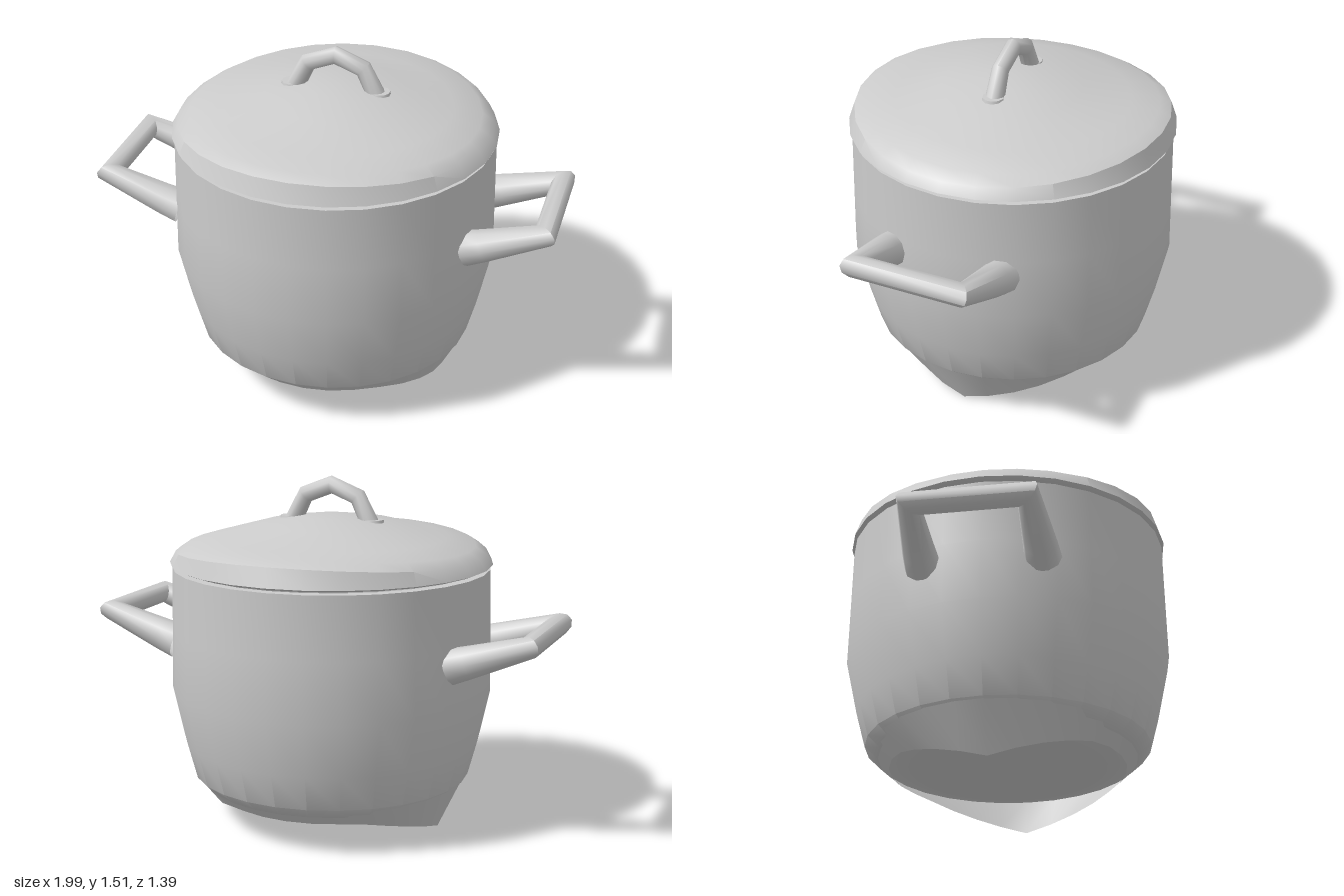
import * as THREE from 'three';
import { toCreasedNormals } from 'three/addons/utils/BufferGeometryUtils.js';

const material = new THREE.MeshStandardMaterial({ color: 0xcccccc, side: THREE.DoubleSide });
const SEGMENTS = 28;

function part(name, geometry, crease = 0.6) {
  const mesh = new THREE.Mesh(toCreasedNormals(geometry, crease), material);
  mesh.name = name;
  return mesh;
}

const lathe = (profile) =>
  new THREE.LatheGeometry(profile.map(([r, y]) => new THREE.Vector2(r, y)), SEGMENTS);

// Apply a rule to every vertex of a geometry
function reshape(geometry, rule) {
  const pos = geometry.attributes.position;
  const v = new THREE.Vector3();
  for (let i = 0; i < pos.count; i++) {
    rule(v.fromBufferAttribute(pos, i));
    pos.setXYZ(i, v.x, v.y, v.z);
  }
  return geometry;
}

// Bar with mitred corners along points [x, y, z, radius] lying in one plane
function mitredBar(points, planeNormal, sides = 10) {
  const p = points.map(([x, y, z]) => new THREE.Vector3(x, y, z));
  const positions = [], indices = [];
  p.forEach((c, i) => {
    const before = c.clone().sub(p[Math.max(i - 1, 0)]).normalize();
    const after = p[Math.min(i + 1, p.length - 1)].clone().sub(c).normalize();
    const tangent = before.clone().add(after).normalize();
    const stretch = 1 / Math.max(tangent.dot(i ? before : after), 0.5);
    const across = new THREE.Vector3().crossVectors(tangent, planeNormal).normalize();
    for (let k = 0; k < sides; k++) {
      const a = (k / sides) * Math.PI * 2, r = points[i][3];
      const v = c.clone()
        .addScaledVector(across, Math.cos(a) * r * stretch)
        .addScaledVector(planeNormal, Math.sin(a) * r);
      positions.push(v.x, v.y, v.z);
      if (i) {
        const k2 = (k + 1) % sides, n = i * sides, m = n - sides;
        indices.push(m + k, m + k2, n + k, m + k2, n + k2, n + k);
      }
    }
  });
  const geometry = new THREE.BufferGeometry();
  geometry.setAttribute('position', new THREE.Float32BufferAttribute(positions, 3));
  geometry.setIndex(indices);
  return geometry;
}

export function createModel() {
  const pot = new THREE.Group();
  pot.name = 'cookingPot';

  // Body: straight wall narrowing to a small flat base
  pot.add(part('body', lathe([
    [0, 0.125], [0.42, 0.125], [0.55, 0.16], [0.605, 0.21], [0.645, 0.36],
    [0.695, 0.59], [0.69, 0.85], [0.685, 1.12], [0.64, 1.12],
  ])));

  // Base skirt, drawn down to a point on the left and right
  const skirt = reshape(lathe([[0.5, 0.115], [0.6, 0.21]]), (v) => {
    if (v.y < 0.15 && Math.abs(v.x) > 0.2) v.y -= 0.115 * Math.max(0, 1 - Math.abs(v.z) / 0.42);
  });
  pot.add(part('baseSkirt', skirt));

  // Lid: shallow dome whose rim rises towards front and back
  const lidShape = reshape(lathe([
    [0.62, 1.12], [0.67, 1.13], [0.695, 1.14], [0.67, 1.18], [0.62, 1.215],
    [0.5, 1.25], [0.3, 1.305], [0.12, 1.333], [0, 1.34],
  ]), (v) => {
    const r = Math.hypot(v.x, v.z);
    if (v.y > 1.15 && r > 0.55) v.y += 0.04 * ((r - 0.5) / 0.17) * (v.z / r) ** 2;
  });
  pot.add(part('lid', lidShape));

  // Lid handle: angular arch with a foot at each end
  const lidHandle = new THREE.Group();
  lidHandle.name = 'lidHandle';
  lidHandle.add(part('lidHandleArch', mitredBar([
    [-0.195, 1.27, 0, 0.042], [-0.12, 1.42, 0, 0.036], [0, 1.467, 0, 0.036],
    [0.12, 1.42, 0, 0.036], [0.195, 1.27, 0, 0.042],
  ], new THREE.Vector3(0, 0, 1)), 0.9));
  for (const side of [-1, 1]) {
    const foot = part('lidHandleFoot', new THREE.CylinderGeometry(0.045, 0.052, 0.03, 10), 0.9);
    foot.position.set(side * 0.19, 1.312, 0);
    lidHandle.add(foot);
  }
  pot.add(lidHandle);

  // Side handles: square loops tilted upwards, thicker at the roots
  const tilt = new THREE.Vector3(-0.34, 0.94, 0).normalize();
  for (const [name, turn] of [['leftHandle', 0], ['rightHandle', Math.PI]]) {
    const handle = part(name, mitredBar([
      [0.62, 0.78, -0.245, 0.077], [0.7, 0.805, -0.245, 0.07], [0.952, 0.888, -0.232, 0.047],
      [0.952, 0.888, 0.232, 0.047], [0.7, 0.805, 0.245, 0.07], [0.62, 0.78, 0.245, 0.077],
    ], tilt), 0.9);
    handle.rotation.y = turn;
    pot.add(handle);
  }
  return pot;
}
